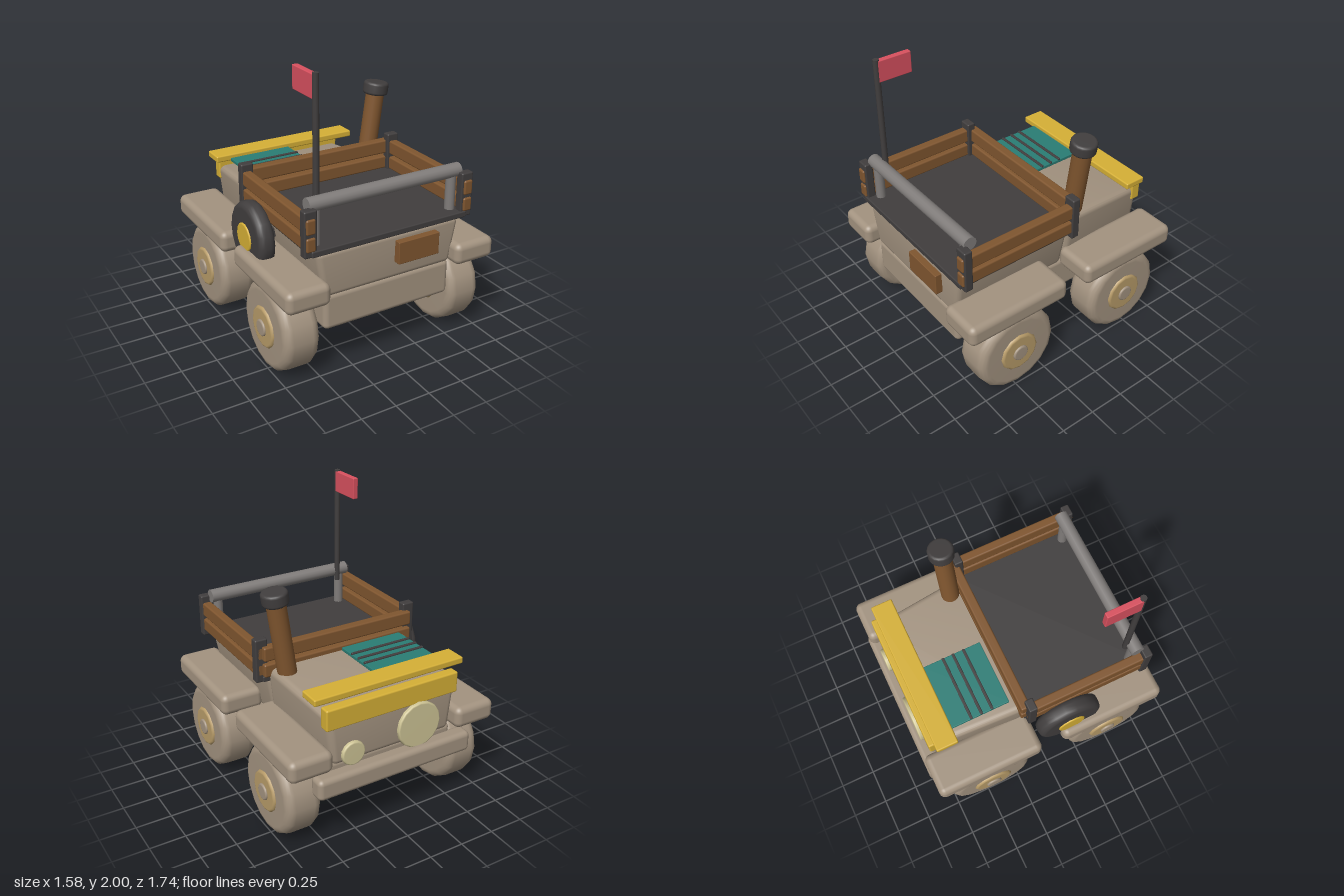
import * as THREE from 'three';
import { RoundedBoxGeometry } from 'three/addons/geometries/RoundedBoxGeometry.js';
import { mergeVertices, toCreasedNormals } from 'three/addons/utils/BufferGeometryUtils.js';

const mat = (name, color) => {
  const m = new THREE.MeshStandardMaterial({ color });
  m.name = name;
  return m;
};

export function createModel() {
  const model = new THREE.Group();
  model.name = 'utilityTruck';

  const tan = mat('tan', 0xa39380);
  const brass = mat('brass', 0xb89c69);
  const wood = mat('wood', 0x80562f);
  const dark = mat('charcoal', 0x413e3e);
  const grey = mat('grey', 0x807c7a);
  const yellow = mat('yellow', 0xd6b036);
  const teal = mat('teal', 0x2a7d75);
  const red = mat('red', 0xd9515f);
  const cream = mat('cream', 0xcfc596);

  const add = (name, geo, material, x = 0, y = 0, z = 0, parent = model) => {
    const mesh = new THREE.Mesh(geo, material);
    mesh.name = name;
    mesh.position.set(x, y, z);
    parent.add(mesh);
    return mesh;
  };

  // Rounded box given by its extents on each axis
  const block = (name, material, [x0, x1], [y0, y1], [z0, z1], r = 0.008) =>
    add(name, new RoundedBoxGeometry(x1 - x0, y1 - y0, z1 - z0, r > 0.02 ? 4 : 2, r), material,
      (x0 + x1) / 2, (y0 + y1) / 2, (z0 + z1) / 2);

  // Rounded box whose vertices are moved by a rule
  const shaped = (name, material, size, r, pos, rule) => {
    let geo = new RoundedBoxGeometry(...size, 4, r);
    geo.deleteAttribute('normal');
    geo.deleteAttribute('uv');
    const p = geo.attributes.position;
    const v = new THREE.Vector3();
    for (let i = 0; i < p.count; i++) {
      v.fromBufferAttribute(p, i);
      rule(v);
      p.setXYZ(i, v.x, v.y, v.z);
    }
    geo = toCreasedNormals(mergeVertices(geo, 1e-5), 0.6);
    return add(name, geo, material, ...pos);
  };

  // Disc turned about the x axis, with rounded shoulders
  const disc = (radius, width, bevel, sides) => {
    const h = width / 2;
    const pts = [new THREE.Vector2(0, -h)];
    for (const s of [-1, 1]) {
      for (let i = 0; i <= 4; i++) {
        const a = (s < 0 ? i : 4 - i) * Math.PI / 8;
        pts.push(new THREE.Vector2(radius - bevel + bevel * Math.sin(a), s * (h - bevel + bevel * Math.cos(a))));
      }
    }
    pts.push(new THREE.Vector2(0, h));
    return new THREE.LatheGeometry(pts, sides).rotateZ(Math.PI / 2);
  };

  // Chassis and bumper
  block('chassis', tan, [-0.48, 0.48], [0.345, 0.6], [-0.78, 0.78], 0.035);
  block('bumper', tan, [-0.59, 0.59], [0.395, 0.545], [-0.87, -0.75], 0.035);

  // Tapered tub under the tray
  shaped('tub', tan, [1.08, 0.33, 0.9], 0.04, [0, 0.745, 0.34], (v) => {
    const t = 0.5 - v.y / 0.33;
    v.x *= 1 - 0.11 * t;
    v.z *= 1 - 0.02 * t;
  });

  // Hood, sloping down and narrowing toward the headlights
  shaped('hood', tan, [1.06, 0.43, 0.7], 0.05, [0, 0.79, -0.45], (v) => {
    const t = 0.5 - v.z / 0.7;
    const up = v.y / 0.43 + 0.5;
    v.x *= 1.03 - 0.1 * t - 0.08 * (1 - up);
    v.y -= 0.07 * t * up;
  });

  // Fenders and wheels
  for (const s of [-1, 1]) {
    const side = s > 0 ? [0.475, 0.785] : [-0.785, -0.475];
    block('fender', tan, side, [0.58, 0.733], [0.09, 0.87], 0.045);
    block('fender', tan, side, [0.58, 0.733], [-0.86, -0.075], 0.045);
    for (const z of [0.48, -0.46]) {
      const wheel = new THREE.Group();
      wheel.name = 'wheel';
      wheel.position.set(s * 0.63, 0.308, z);
      add('tyre', disc(0.308, 0.255, 0.06, 16), tan, 0, 0, 0, wheel);
      add('hub', disc(0.145, 0.288, 0.02, 12), brass, 0, 0, 0, wheel);
      add('hubCap', disc(0.058, 0.315, 0.012, 16), tan, 0, 0, 0, wheel);
      model.add(wheel);
    }
  }

  // Tray deck, slatted rails and corner posts
  block('trayDeck', dark, [-0.58, 0.58], [0.9, 0.942], [-0.13, 0.805]);
  for (const y of [[0.942, 1.035], [1.057, 1.157]]) {
    block('rearSlat', wood, [-0.58, 0.58], y, [-0.155, -0.088], 0.012);
    for (const s of [-1, 1]) {
      block('sideSlat', wood, s > 0 ? [0.553, 0.617] : [-0.617, -0.553], y, [-0.12, 0.808], 0.012);
    }
  }
  for (const s of [-1, 1]) {
    for (const z of [[-0.12, -0.06], [0.735, 0.795]]) {
      block('cornerPost', dark, s > 0 ? [0.538, 0.626] : [-0.626, -0.538], [0.9, 1.208], z, 0.01);
    }
  }

  // Roll bar
  add('rollBar', new THREE.CylinderGeometry(0.047, 0.047, 1.13, 16).rotateZ(Math.PI / 2), grey, 0, 1.21, 0.71);
  for (const s of [-1, 1]) {
    add('rollBarLeg', new THREE.CylinderGeometry(0.034, 0.034, 0.28, 14), grey, s * 0.51, 1.07, 0.71);
  }

  // Flag
  add('flagPole', new THREE.CylinderGeometry(0.021, 0.021, 0.86, 10), dark, -0.475, 1.57, 0.67);
  block('flag', red, [-0.495, -0.455], [1.84, 1.992], [0.422, 0.672], 0.006);

  // Plate on the tub
  block('plate', wood, [0.032, 0.345], [0.705, 0.86], [0.765, 0.835], 0.005);

  // Spare wheel on the right side
  add('spareTyre', disc(0.237, 0.12, 0.045, 18), dark, -0.665, 0.805, 0.165);
  add('spareHub', disc(0.1, 0.135, 0.01, 14), yellow, -0.668, 0.805, 0.165);
  block('spareMount', dark, [-0.63, -0.5], [0.77, 0.84], [0.13, 0.2]);

  // Leaning exhaust stack
  const stack = new THREE.Group();
  stack.name = 'exhaustStack';
  stack.position.set(0.45, 1, -0.213);
  stack.rotation.z = -0.14;
  add('stackPipe', new THREE.CylinderGeometry(0.066, 0.066, 0.62, 18), wood, 0, 0.22, 0, stack);
  add('stackCap', disc(0.09, 0.092, 0.02, 18).rotateZ(Math.PI / 2), dark, 0, 0.53, 0, stack);
  model.add(stack);

  // Hood panel with ribs
  block('hoodPanel', teal, [-0.457, 0.013], [1.015, 1.04], [-0.613, -0.187], 0.005);
  for (const z of [-0.465, -0.39, -0.312]) {
    block('panelRib', dark, [-0.457, 0.013], [1.03, 1.05], [z - 0.01, z + 0.01], 0.005);
  }

  // Yellow boards across the nose
  block('topBoard', yellow, [-0.565, 0.562], [1.02, 1.067], [-0.765, -0.61], 0.01);
  block('noseBoard', yellow, [-0.5, 0.5], [0.843, 0.992], [-0.802, -0.728], 0.012);

  // Mismatched headlights
  for (const [x, y, r] of [[-0.19, 0.695, 0.165], [0.312, 0.645, 0.085]]) {
    add('headlight', disc(r, 0.06, 0.012, 16).rotateY(Math.PI / 2), cream, x, y, -0.795);
  }

  return model;
}
